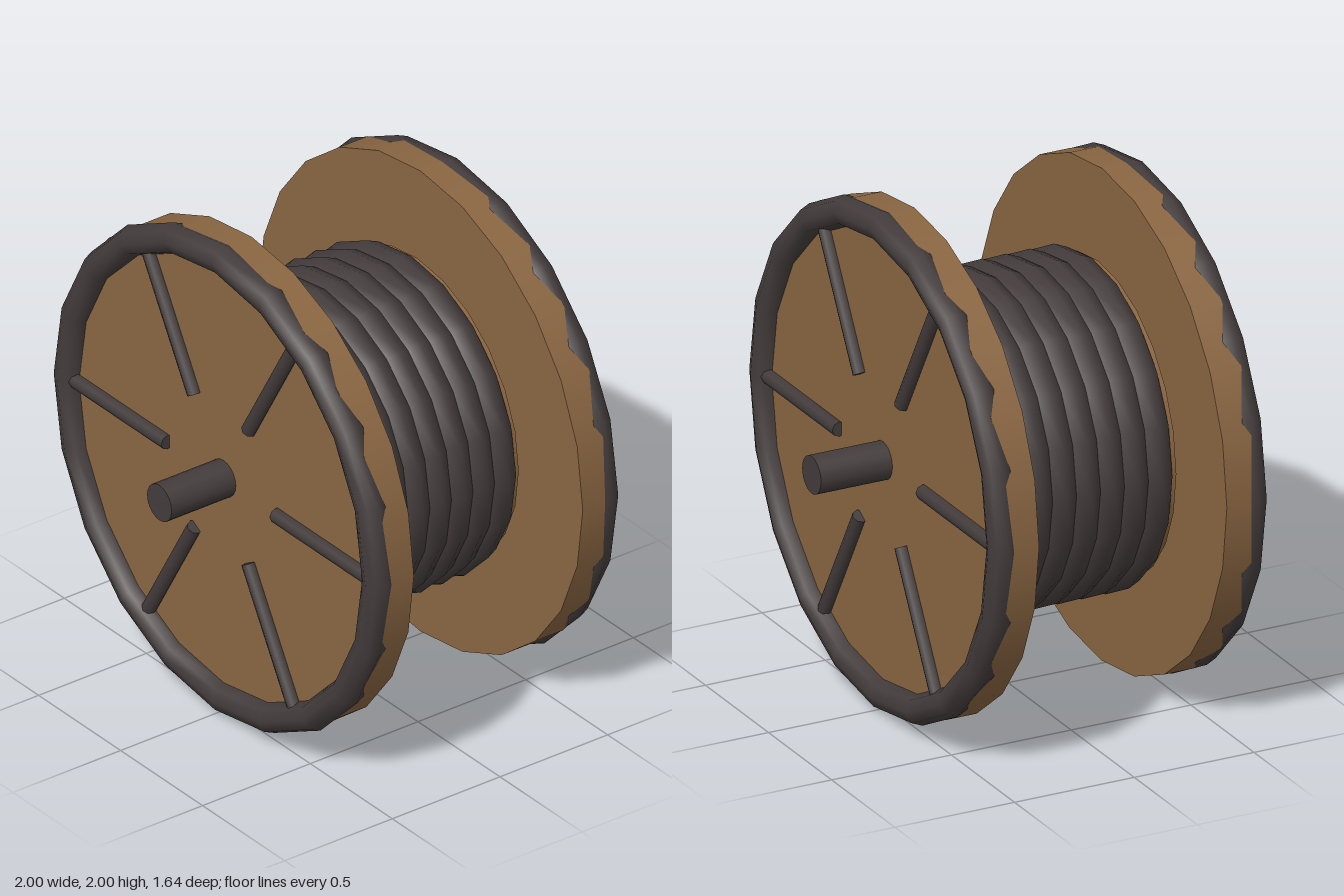
import * as THREE from 'three';

// Cable spool lying on its rims, axle along z
export function createModel() {
  const wood = new THREE.MeshStandardMaterial({ color: 0x8a6642 });
  wood.name = 'brown wood';
  const dark = new THREE.MeshStandardMaterial({ color: 0x443c3c });
  dark.name = 'dark rubber';

  const model = new THREE.Group();
  model.name = 'cableSpool';
  const spool = new THREE.Group();
  spool.name = 'spool';
  spool.position.y = 1;
  model.add(spool);

  const add = (parent, name, geometry, material, z = 0) => {
    const mesh = new THREE.Mesh(geometry, material);
    mesh.name = name;
    mesh.position.z = z;
    parent.add(mesh);
    return mesh;
  };
  const rod = (radius, length, sides) =>
    new THREE.CylinderGeometry(radius, radius, length, sides).rotateX(Math.PI / 2);

  // Axle and drum
  add(spool, 'axle', rod(0.075, 1.64, 20), dark);
  add(spool, 'drum', rod(0.622, 0.75, 24), wood);

  // Seven turns of cable side by side
  for (let i = -3; i <= 3; i++) {
    add(spool, 'cableTurn', new THREE.TorusGeometry(0.59, 0.07, 8, 20), dark, i * 0.1);
  }

  // End flanges, each with a rim and six spokes on its outer face
  for (const side of [1, -1]) {
    const flange = new THREE.Group();
    flange.name = side > 0 ? 'frontFlange' : 'backFlange';
    add(flange, 'disc', rod(0.99, 0.13, 24), wood, 0.457);
    add(flange, 'rim', new THREE.TorusGeometry(0.94, 0.06, 8, 20), dark, 0.52);
    for (let i = 0; i < 6; i++) {
      const angle = (i * Math.PI) / 3;
      const spoke = add(flange, 'spoke', new THREE.CylinderGeometry(0.03, 0.03, 0.58, 8), dark, 0.53);
      spoke.position.x = Math.cos(angle) * 0.62;
      spoke.position.y = Math.sin(angle) * 0.62;
      spoke.rotation.z = angle - Math.PI / 2;
    }
    if (side < 0) flange.rotation.y = Math.PI;
    spool.add(flange);
  }
  return model;
}
